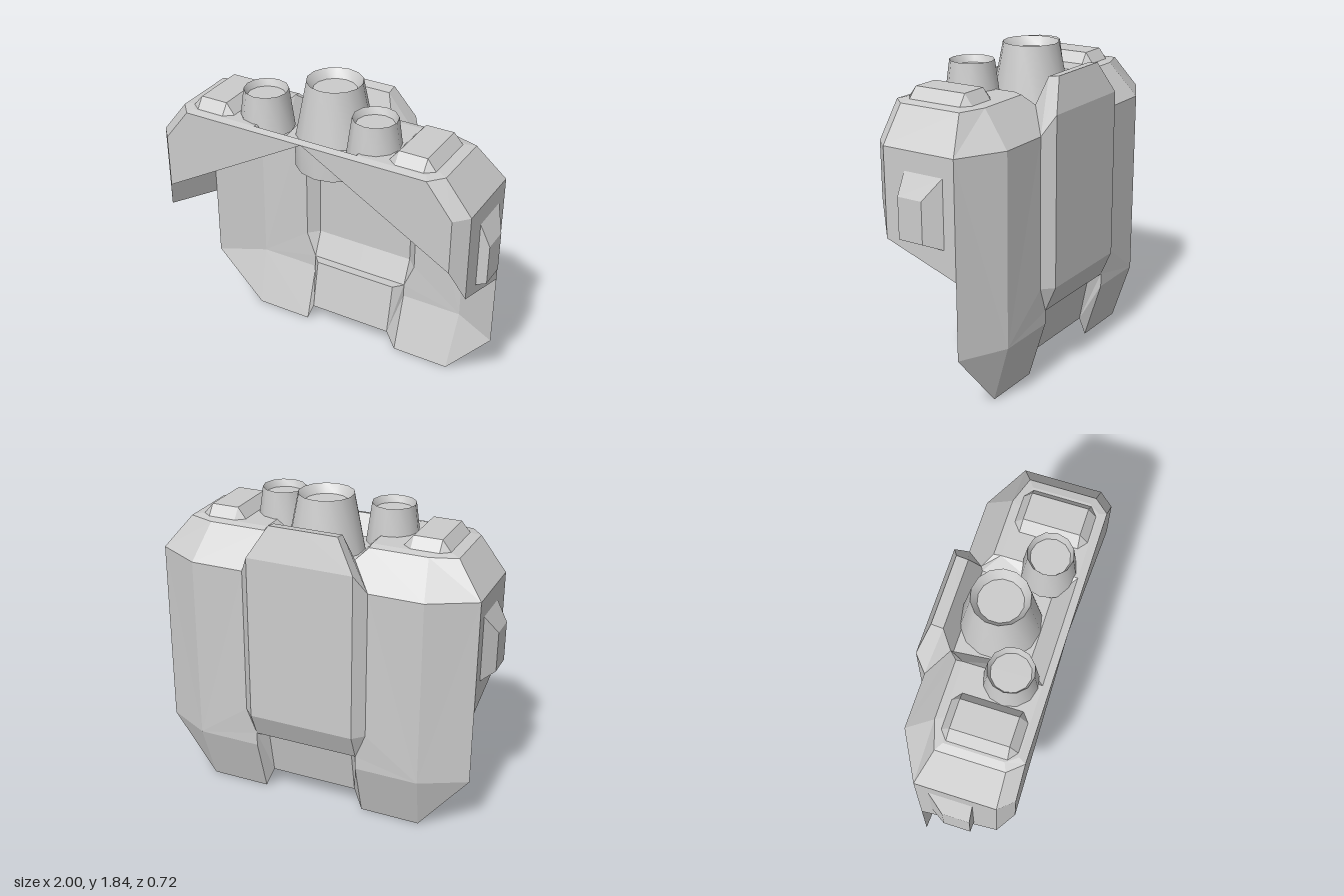
import * as THREE from 'three';
import { toCreasedNormals } from 'three/addons/utils/BufferGeometryUtils.js';
import { ConvexGeometry } from 'three/addons/geometries/ConvexGeometry.js';

const sheetMat = new THREE.MeshStandardMaterial({ color: 0xcccccc, side: THREE.DoubleSide, flatShading: true });
const smoothMat = new THREE.MeshStandardMaterial({ color: 0xcccccc, side: THREE.DoubleSide });

// Thin folded sheet: polygons of the +x half, fanned and mirrored to -x
function sheet(name, faces) {
  const pos = [];
  for (const f of faces) {
    for (let i = 1; i < f.length - 1; i++) {
      pos.push(...f[0], ...f[i], ...f[i + 1]);
      for (const [x, y, z] of [f[0], f[i + 1], f[i]]) pos.push(-x, y, z);
    }
  }
  const g = new THREE.BufferGeometry();
  g.setAttribute('position', new THREE.Float32BufferAttribute(pos, 3));
  g.computeVertexNormals();
  const m = new THREE.Mesh(g, sheetMat);
  m.name = name;
  return m;
}

// Quads between two rows of points
const strip = (a, b) => a.slice(1).map((p, i) => [a[i], p, b[i + 1], b[i]]);
// Quad from the centre line out to an edge
const span = (a, b) => [[0, a[1], a[2]], a, b, [0, b[1], b[2]]];

function turned(name, profile, sides, x, z) {
  const g = new THREE.LatheGeometry(profile.map(([r, y]) => new THREE.Vector2(r, y)), sides);
  const m = new THREE.Mesh(toCreasedNormals(g, 0.6), smoothMat);
  m.name = name;
  m.position.set(x, 0, z);
  return m;
}

export function createModel() {
  const group = new THREE.Group();

  // Back plate: outer corner, flat field and tapered lower legs
  const sideTop = [0.94, 1.43, -0.16], sideLow = [0.94, 0.34, -0.16];
  const bendTop = [0.68, 1.43, -0.3], bendLow = [0.68, 0.34, -0.295];
  const panelTop = [0.37, 1.43, -0.3], panelLow = [0.37, 0.57, -0.3];
  const panelFoot = [0.31, 0.42, -0.295], legIn = [0.31, 0.34, -0.295];
  const tipOut = [0.66, 0, -0.19], tipIn = [0.31, 0, -0.19];
  group.add(sheet('backPlate', [
    [sideTop, sideLow, bendLow, bendTop],
    [bendLow, legIn, panelFoot, panelLow, panelTop, bendTop],
    [sideLow, tipOut, bendLow],
    [bendLow, tipOut, tipIn, legIn],
  ]));

  // Raised centre panel with bevelled sides, head and foot
  const faceTop = [0.31, 1.54, -0.36], faceLow = [0.31, 0.57, -0.36];
  const crestBack = [0.2, 1.72, -0.305], crestFront = [0.2, 1.71, -0.24];
  const wellBack = [0.24, 1.53, -0.18], shoulder = [0.25, 1.56, -0.19];
  group.add(sheet('centrePanel', [
    span(faceTop, faceLow),
    [panelTop, panelLow, faceLow, faceTop],
    [panelLow, panelFoot, faceLow],
    span(faceLow, panelFoot),
    span(crestBack, faceTop),
    span(crestFront, crestBack),
    span(wellBack, crestFront),
    [panelTop, faceTop, crestBack, crestFront, shoulder],
    [shoulder, crestFront, wellBack],
  ]));

  // Inset strip between the legs
  const stripTop = [0.26, 0.42, -0.24], stripLow = [0.26, 0.12, -0.18];
  group.add(sheet('lowerStrip', [
    span(stripTop, stripLow),
    span(panelFoot, stripTop),
    [panelFoot, legIn, stripLow, stripTop],
    [legIn, tipIn, stripLow],
  ]));

  // Hood: side flaps, bevelled shoulders and arched front
  const y1 = 1.62;
  const rim = [[0, y1, 0.36], [0.72, y1, 0.36], [0.79, y1, 0.28], [0.79, y1, -0.09], [0.64, y1, -0.14], [0.31, y1, -0.14]];
  const frontTop = [0.87, 1.43, 0.36], frontLow = [0.87, 1.12, 0.36];
  const cornerTop = [0.94, 1.43, 0.28], cornerLow = [0.94, 0.93, 0.28];
  group.add(sheet('hood', [
    [rim[0], frontLow, frontTop, rim[1]],
    [frontLow, cornerLow, cornerTop, frontTop],
    [cornerLow, [0.94, 0.78, -0.16], sideTop, cornerTop],
    ...strip([frontTop, cornerTop, sideTop, bendTop], rim.slice(1, 5)),
    [bendTop, panelTop, shoulder, rim[5], rim[4]],
  ]));

  // Roof with a shallow raised deck and a sunken well
  const y2 = 1.63;
  const deck = [[0, y2, 0.32], [0.7, y2, 0.32], [0.745, y2, 0.26], [0.745, y2, -0.06], [0.62, y2, -0.1], [0.31, y2, -0.1]];
  const wellRim = [0.31, y2, 0.32], wellFront = [0.2, 1.53, 0.215];
  group.add(sheet('roof', [
    ...strip(rim, deck),
    [wellRim, ...deck.slice(1)],
  ]));
  group.add(sheet('roofWell', [
    span(wellRim, wellFront),
    [wellFront, wellRim, deck[5], wellBack],
    [deck[5], rim[5], shoulder, wellBack],
    span(wellFront, wellBack),
  ]));

  // Faceted pod on each side flap
  const base = [[0.94, 0.94, 0.15], [0.94, 0.94, -0.09], [0.94, 1.32, -0.09], [0.94, 1.32, 0.15]];
  const cap = [[1, 0.97, 0.15], [1, 0.97, 0], [1, 1.2, 0], [1, 1.2, 0.15]];
  group.add(sheet('sidePods', [cap, ...strip([...base, base[0]], [...cap, cap[0]])]));

  // Large nozzle and the drum below it
  group.add(turned('mainNozzle', [[0.22, 1.51], [0.155, 1.84], [0.12, 1.79], [0, 1.79]], 14, 0, 0));
  group.add(turned('drum', [[0, 1.34], [0.22, 1.34], [0.22, 1.51], [0, 1.51]], 14, 0, 0));

  for (const s of [-1, 1]) {
    // Small nozzle
    group.add(turned('smallNozzle', [[0.152, 1.56], [0.122, 1.78], [0.105, 1.74], [0, 1.74]], 12, s * 0.33, 0.16));

    // Bevelled roof pad
    const pts = [];
    for (const a of [-1, 1]) {
      for (const b of [-1, 1]) {
        pts.push(new THREE.Vector3(a * 0.13, y2, b * 0.16), new THREE.Vector3(a * 0.08, y2, b * 0.2),
          new THREE.Vector3(a * 0.08, 1.69, b * 0.155));
      }
    }
    const pad = new THREE.Mesh(new ConvexGeometry(pts), sheetMat);
    pad.name = 'roofPad';
    pad.position.set(s * 0.6, 0, 0.11);
    group.add(pad);
  }
  return group;
}
